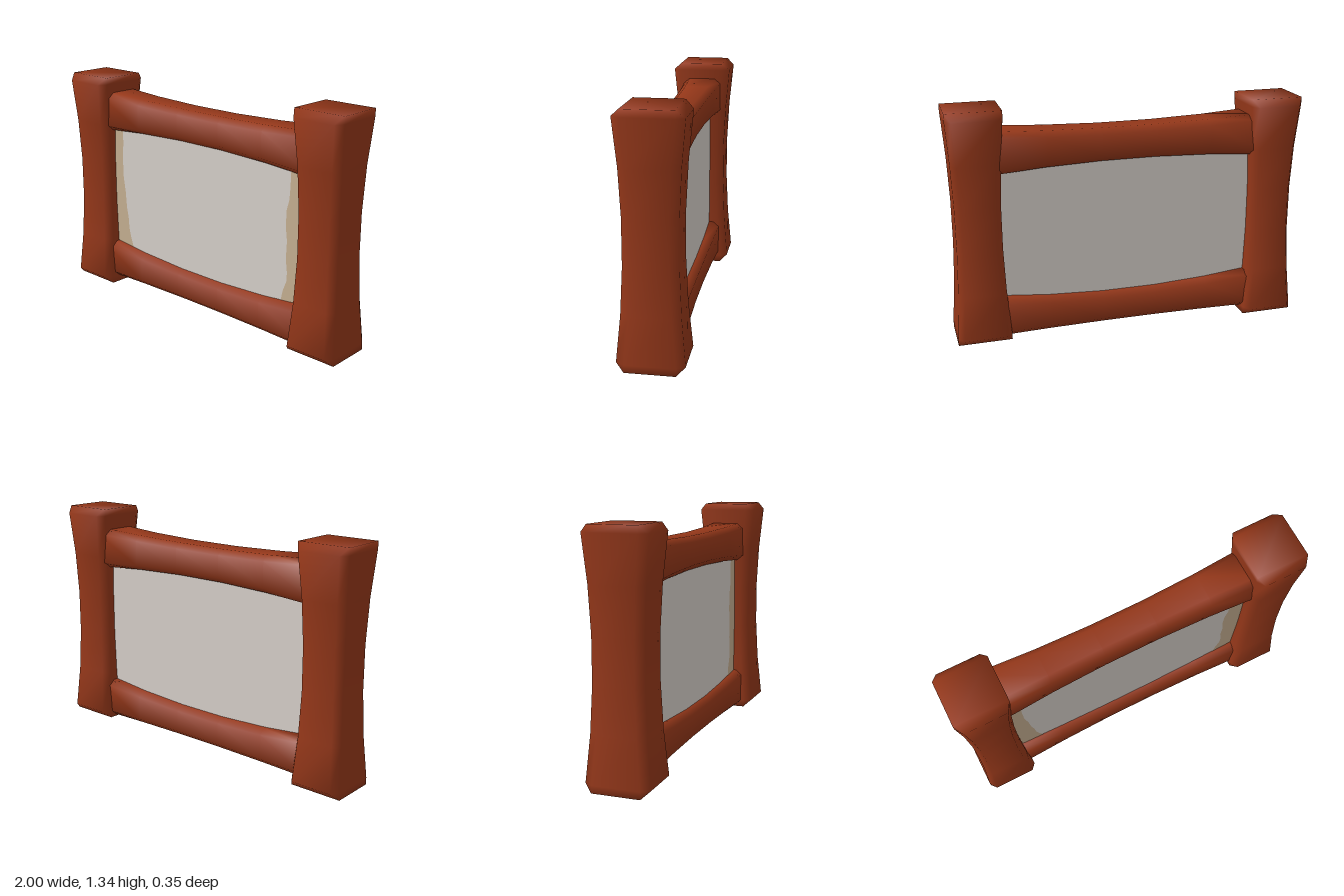
import * as THREE from 'three';
import { toCreasedNormals } from 'three/addons/utils/BufferGeometryUtils.js';

// Octagonal section: centre, half sizes and corner cuts in the (u, v) plane
function octagon(u, v, hu, hv, cu, cv) {
  return [
    [hu, -hv + cv], [hu, hv - cv], [hu - cu, hv], [-hu + cu, hv],
    [-hu, hv - cv], [-hu, -hv + cv], [-hu + cu, -hv], [hu - cu, -hv],
  ].map(([a, b]) => [u + a, v + b]);
}

// Smooth closed loft through rings of { w, pts }; place maps (u, v, w) to x, y, z
function loft(rings, place) {
  const n = 8, pos = [], idx = [];
  for (const { w, pts } of rings) for (const [u, v] of pts) pos.push(...place(u, v, w));
  for (let i = 0; i < rings.length - 1; i++) {
    for (let j = 0; j < n; j++) {
      const a = i * n + j, b = i * n + (j + 1) % n;
      idx.push(a, b, b + n, a, b + n, a + n);
    }
  }
  const last = (rings.length - 1) * n;
  for (let j = 1; j < n - 1; j++) {
    idx.push(0, j + 1, j, last, last + j, last + j + 1);
  }
  const g = new THREE.BufferGeometry();
  g.setAttribute('position', new THREE.Float32BufferAttribute(pos, 3));
  g.setIndex(idx);
  return toCreasedNormals(g, Math.PI);
}

// Waisted post with bevelled front and back edges
function postGeometry() {
  const H = 1.31, bevel = 0.04, steps = 5;
  const end = octagon(0, 0, 0.13, 0.15, 0, 0);
  const rings = [{ w: 0, pts: end }];
  for (let i = 0; i <= steps; i++) {
    const t = (i / steps) * 2 - 1, k = t * t;
    rings.push({
      w: H / 2 + t * (H / 2 - bevel),
      pts: octagon(0, 0, 0.139 + 0.035 * k, 0.124 + 0.026 * k, 0.045, 0.03),
    });
  }
  rings.push({ w: H, pts: end });
  return loft(rings, (z, x, y) => [x, y, z]);
}

// Rail along x, let into the posts; low and high are the [middle, post] heights of its edges
function railGeometry(low, high) {
  const rings = [], steps = 5, half = 0.78;
  for (let i = 0; i <= steps; i++) {
    const x = ((i / steps) * 2 - 1) * half, k = (x / 0.715) ** 2;
    const y0 = THREE.MathUtils.lerp(low[0], low[1], k);
    const y1 = THREE.MathUtils.lerp(high[0], high[1], k);
    rings.push({
      w: x,
      pts: octagon((y0 + y1) / 2, -0.004, (y1 - y0) / 2, 0.095 + 0.019 * k, 0.03, 0.035),
    });
  }
  return loft(rings, (y, z, x) => [x, y, z]);
}

// Worn strip between the panel side and a ragged inner edge of [x, y] points
function stripGeometry(side, edge) {
  const s = new THREE.Shape();
  s.moveTo(side * 0.735, 0.2);
  for (const [x, y] of edge) s.lineTo(side * x, y);
  s.lineTo(side * 0.735, 1.05);
  return new THREE.ShapeGeometry(s);
}

export function createModel() {
  const wood = new THREE.MeshStandardMaterial({ name: 'red brown wood', color: 0x943719 });
  const grey = new THREE.MeshStandardMaterial({ name: 'pale grey', color: 0xd5cec8 });
  const tan = new THREE.MeshStandardMaterial({ name: 'tan', color: 0xc4ae90 });
  const model = new THREE.Group();
  model.name = 'framedBoard';
  const add = (name, geometry, material, x = 0, y = 0, z = 0) => {
    const mesh = new THREE.Mesh(geometry, material);
    mesh.name = name;
    mesh.position.set(x, y, z);
    model.add(mesh);
  };

  // Posts, the left one set slightly higher
  const post = postGeometry();
  add('rightPost', post, wood, -0.85, 0, 0);
  add('leftPost', post, wood, 0.85, 0.03, 0);

  // Rails
  add('topRail', railGeometry([1.011, 0.987], [1.195, 1.216]), wood);
  add('bottomRail', railGeometry([0.039, 0.039], [0.224, 0.266]), wood);

  // Thick panel with worn strips on its front
  add('panel', new THREE.BoxGeometry(1.5, 0.96, 0.11), grey, 0, 0.62, 0);
  add('rightWornStrip', stripGeometry(-1, [
    [0.575, 0.2], [0.583, 0.26], [0.6, 0.31], [0.615, 0.37], [0.62, 0.44], [0.632, 0.5],
    [0.64, 0.6], [0.655, 0.7], [0.657, 0.82], [0.65, 0.9], [0.648, 0.97], [0.64, 1.05],
  ]), tan, 0, 0, 0.057);
  add('leftWornStrip', stripGeometry(1, [
    [0.585, 0.2], [0.592, 0.26], [0.602, 0.31], [0.625, 0.37], [0.628, 0.42], [0.618, 0.5],
    [0.622, 0.6], [0.612, 0.68], [0.614, 0.77], [0.63, 0.83], [0.635, 0.9], [0.638, 1.05],
  ]), tan, 0, 0, 0.057);
  return model;
}
